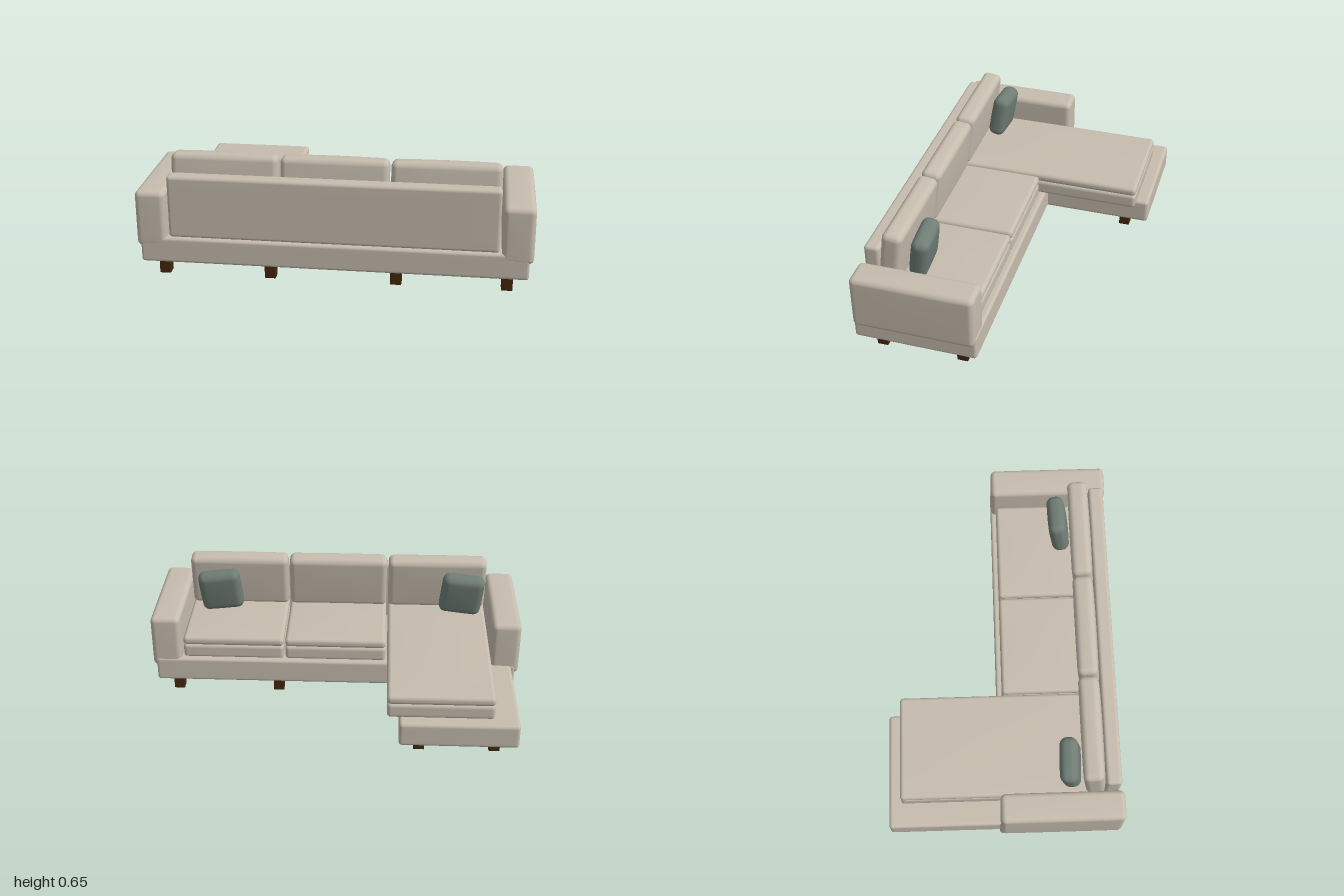
import * as THREE from 'three';
import { mergeVertices } from 'three/addons/utils/BufferGeometryUtils.js';

const fabric = new THREE.MeshStandardMaterial({ name: 'beige fabric', color: 0xc6bcae });
const pillowFabric = new THREE.MeshStandardMaterial({ name: 'sage fabric', color: 0x6f7d75 });
const wood = new THREE.MeshStandardMaterial({ name: 'dark wood', color: 0x45260f });

// Box with rounded edges of radius r, its faces swelling by puff = [x, y, z]
function softBox(w, h, d, r, puff = [0, 0, 0]) {
  const n = 16;
  let geo = new THREE.BoxGeometry(2, 2, 2, n, n, n);
  geo.deleteAttribute('uv');
  geo.deleteAttribute('normal');
  geo = mergeVertices(geo, 1e-5);
  const half = [w / 2, h / 2, d / 2];
  const pos = geo.attributes.position;
  for (let i = 0; i < pos.count; i++) {
    const t = [pos.getX(i), pos.getY(i), pos.getZ(i)];
    const core = t.map((v, k) => Math.sign(v) * (half[k] - r) * Math.min(1, Math.abs(v) / 0.5));
    const out = new THREE.Vector3(...t.map(
      (v) => Math.sign(v) * Math.tan(Math.max(0, Math.abs(v) - 0.5) * Math.PI / 2)));
    out.setLength(r);
    const p = [core[0] + out.x, core[1] + out.y, core[2] + out.z];
    const fall = p.map((v, k) => Math.max(0, 1 - (v / half[k]) ** 2));
    pos.setXYZ(i,
      p[0] + puff[0] * p[0] / half[0] * fall[1] * fall[2],
      p[1] + puff[1] * p[1] / half[1] * fall[0] * fall[2],
      p[2] + puff[2] * p[2] / half[2] * fall[0] * fall[1]);
  }
  geo.computeVertexNormals();
  return geo;
}

export function createModel() {
  const sofa = new THREE.Group();
  sofa.name = 'sectionalSofa';

  // Add a soft box spanning the given [min, max] ranges
  function add(name, x, y, z, r, material = fabric, puff) {
    const mesh = new THREE.Mesh(
      softBox(x[1] - x[0], y[1] - y[0], z[1] - z[0], r, puff), material);
    mesh.position.set((x[0] + x[1]) / 2, (y[0] + y[1]) / 2, (z[0] + z[1]) / 2);
    mesh.name = name;
    sofa.add(mesh);
    return mesh;
  }

  // Frame
  add('mainBase', [-0.978, 0.978], [0.1, 0.235], [-0.03, 0.608], 0.015);
  add('chaiseBase', [-0.957, -0.348], [0.1, 0.233], [-0.61, 0.1], 0.018);
  add('backrest', [-0.835, 0.83], [0.23, 0.56], [0.508, 0.588], 0.018);
  for (const s of [-1, 1]) {
    const x = s < 0 ? [-0.998, -0.845] : [0.84, 0.998];
    add(s < 0 ? 'rightArm' : 'leftArm', x, [0.183, 0.479], [-0.025, 0.608], 0.027, fabric, [0.002, 0.004, 0.002]);
  }

  // Seat cushions, each a thick lower layer with a thinner top layer
  const columns = [[-0.832, -0.285], [-0.275, 0.272], [0.281, 0.83]];
  columns.forEach((x, i) => {
    const chaise = i === 0;
    const z = [chaise ? -0.545 : 0.0, 0.5];
    const name = chaise ? 'chaiseCushion' : 'seatCushion' + i;
    add(name + 'Lower', x, [0.226, 0.309], z, 0.02);
    add(name + 'Upper', x, [0.304, 0.353], z, 0.02, fabric, [0, 0.007, 0]);
  });

  // Back cushions, tipped slightly over the seat
  columns.forEach((x, i) => {
    const cushion = add('backCushion' + (i + 1), x, [0.345, 0.645], [0.403, 0.508], 0.03, fabric, [0, 0.005, 0.004]);
    cushion.rotation.x = -0.12;
  });

  // Throw pillows, rolled outwards at the top
  for (const s of [-1, 1]) {
    const x = s < 0 ? -0.695 : 0.655;
    const pillow = add(s < 0 ? 'rightPillow' : 'leftPillow',
      [x - 0.115, x + 0.115], [0.36, 0.594], [0.292, 0.382], 0.036, pillowFabric, [0.002, 0.002, 0.006]);
    pillow.rotation.set(-0.15, s * 0.04, -s * 0.1);
  }

  // Legs
  const legs = [[-0.845, -0.467], [-0.455, -0.467]];
  for (const x of [-0.882, -0.33, 0.315, 0.875]) legs.push([x, 0.07], [x, 0.497]);
  for (const [x, z] of legs) {
    add('leg', [x - 0.029, x + 0.029], [0, 0.108], [z - 0.029, z + 0.029], 0.005, wood);
  }
  return sofa;
}
